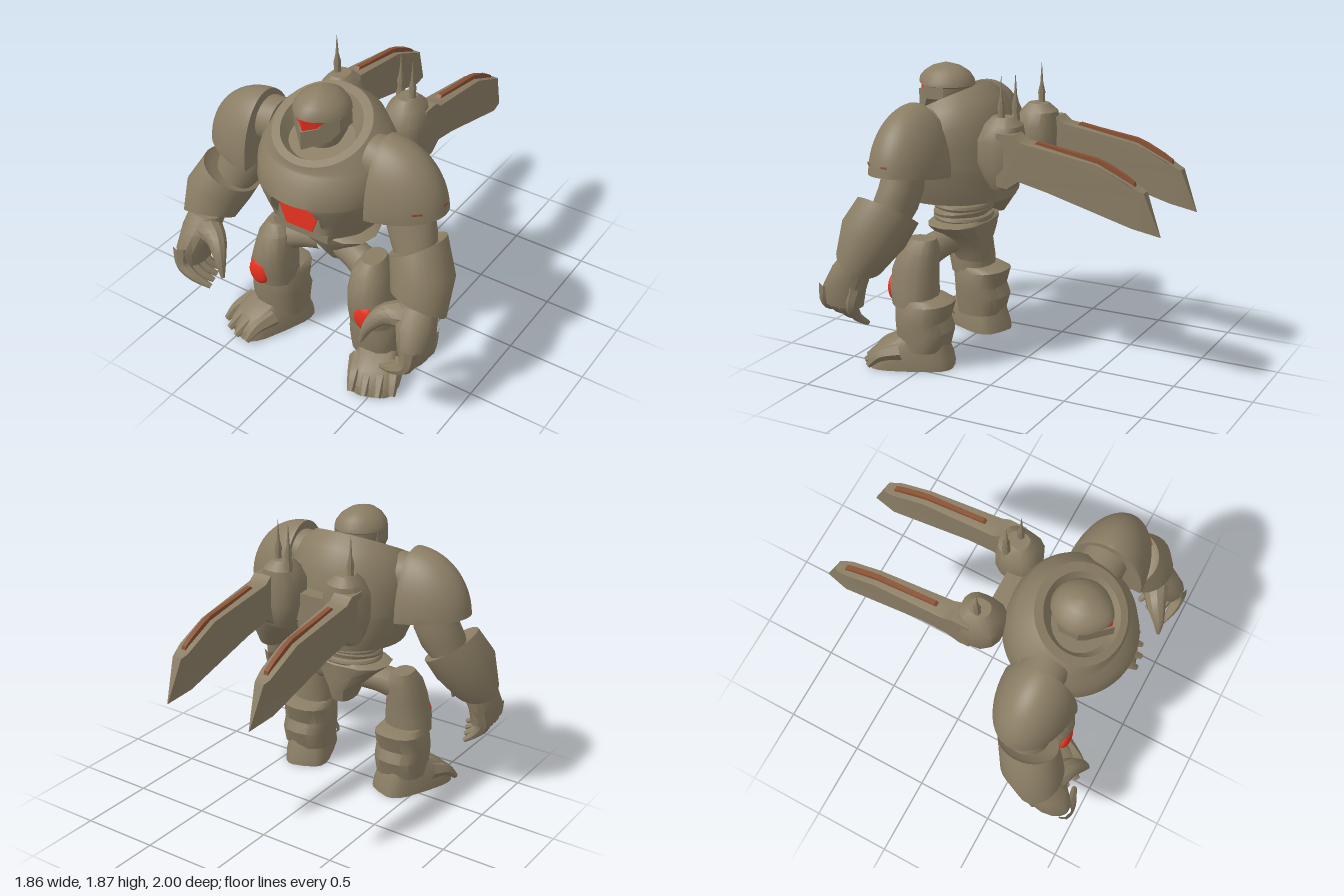
import * as THREE from 'three';
import { toCreasedNormals } from 'three/addons/utils/BufferGeometryUtils.js';

const mat = (name, color) => {
  const m = new THREE.MeshStandardMaterial({ color });
  m.name = name;
  return m;
};
const V = (p) => new THREE.Vector3(...p);

// Drop attributes, unindex and give smooth normals with sharp edges
function finish(geo, crease = 0.6) {
  const g = geo.index ? geo.toNonIndexed() : geo.clone();
  g.clearGroups();
  g.deleteAttribute('uv');
  g.deleteAttribute('normal');
  g.computeVertexNormals();
  return toCreasedNormals(g, crease);
}

// Mirror across x and turn the triangles round again
function mirrored(geo) {
  const g = geo.clone().scale(-1, 1, 1);
  const a = g.attributes.position.array;
  for (let i = 0; i < a.length; i += 9)
    for (let k = 0; k < 3; k++) [a[i + k], a[i + 6 + k]] = [a[i + 6 + k], a[i + k]];
  return finish(g);
}

function bend(geo, rule) {
  const p = geo.attributes.position, v = new THREE.Vector3();
  for (let i = 0; i < p.count; i++) {
    rule(v.fromBufferAttribute(p, i));
    p.setXYZ(i, v.x, v.y, v.z);
  }
  return geo;
}

// Closed skin over rings listed upwards: [cx, cy, cz, rx, rz, tiltX, tiltZ]
function loft(rings, n = 24, square = 1) {
  const pos = [], idx = [];
  const pw = (c) => Math.sign(c) * Math.abs(c) ** square;
  for (const [cx, cy, cz, rx, rz, tx = 0, tz = 0] of rings)
    for (let j = 0; j < n; j++) {
      const t = (j / n) * Math.PI * 2;
      const dx = rx * pw(Math.cos(t)), dz = rz * pw(Math.sin(t));
      pos.push(cx + dx, cy + tx * dx + tz * dz, cz + dz);
    }
  const last = rings.length - 1, c0 = rings.length * n;
  pos.push(...rings[0].slice(0, 3), ...rings[last].slice(0, 3));
  for (let j = 0; j < n; j++) {
    const k = (j + 1) % n;
    for (let i = 0; i < last; i++) {
      const a = i * n + j, b = i * n + k;
      idx.push(a, a + n, b, b, a + n, b + n);
    }
    idx.push(c0, j, k, c0 + 1, last * n + k, last * n + j);
  }
  const g = new THREE.BufferGeometry();
  g.setAttribute('position', new THREE.Float32BufferAttribute(pos, 3));
  g.setIndex(idx);
  return g;
}

// Tube along points, tapering from r0 to r1
function taper(points, r0, r1, n = 8) {
  const curve = new THREE.CatmullRomCurve3(points.map(V)), seg = 10;
  const g = new THREE.TubeGeometry(curve, seg, 1, n), p = g.attributes.position;
  const v = new THREE.Vector3();
  for (let i = 0; i < p.count; i++) {
    const t = Math.floor(i / (n + 1)) / seg, c = curve.getPointAt(t);
    v.fromBufferAttribute(p, i).sub(c).multiplyScalar(r0 + (r1 - r0) * t).add(c);
    p.setXYZ(i, v.x, v.y, v.z);
  }
  return g;
}

const shapeOf = (pts) => new THREE.Shape(pts.map((p) => new THREE.Vector2(...p)));
const slab = (shape, depth) => new THREE.ExtrudeGeometry(shape, { depth, bevelEnabled: false });
const ball = (x, y, z, rx, ry, rz) => new THREE.SphereGeometry(1, 28, 18).scale(rx, ry, rz).translate(x, y, z);
const box = (w, h, d, x, y, z) => new THREE.BoxGeometry(w, h, d).translate(x, y, z);

export function createModel() {
  const root = new THREE.Group();
  root.name = 'armouredWalker';
  const stone = mat('stoneArmour', 0x8a7d64);
  const red = mat('glowRed', 0xee3420);
  const rust = mat('rust', 0x8a5234);

  const add = (name, geo, m = stone) => {
    const mesh = new THREE.Mesh(finish(geo), m);
    mesh.name = name;
    root.add(mesh);
  };
  const pair = (name, geo, m = stone) => {
    add(name + 'Left', geo, m);
    const mesh = new THREE.Mesh(mirrored(finish(geo)), m);
    mesh.name = name + 'Right';
    root.add(mesh);
  };

  // Barrel torso: hollow below, tilted collar, sunken neck, and a recess cut into the belly
  const torso = loft([
    [0, 1.12, 0.46, 0.24, 0.22], [0, 1.04, 0.47, 0.3, 0.31], [0, 1.04, 0.485, 0.335, 0.365, 0, -0.04], [0, 1.1, 0.495, 0.36, 0.375],
    [0, 1.16, 0.505, 0.383, 0.385], [0, 1.22, 0.515, 0.4, 0.395], [0, 1.27, 0.522, 0.413, 0.402], [0, 1.285, 0.524, 0.416, 0.402],
    [0, 1.4, 0.515, 0.42, 0.382], [0, 1.5, 0.5, 0.405, 0.348, 0, -0.12], [0, 1.58, 0.525, 0.365, 0.315, 0, -0.35],
    [0, 1.635, 0.57, 0.3, 0.265, 0, -0.48], [0, 1.635, 0.575, 0.245, 0.22, 0, -0.48], [0, 1.54, 0.575, 0.2, 0.17, 0, -0.3],
  ], 96);
  add('torso', bend(torso, (v) => {
    const half = 0.125 + (1.28 - v.y) * 0.35;
    if (v.y < 1.28 && Math.abs(v.x) < half) v.z = Math.min(v.z, 0.81);
  }));
  const hex = [[-0.1, 1.265], [0.1, 1.265], [0.135, 1.18], [0.09, 1.06], [-0.09, 1.06], [-0.135, 1.18]];
  add('bellyGlow', slab(shapeOf(hex), 0.009).translate(0, 0, 0.814), red);
  add('bellyLip', box(0.38, 0.05, 0.16, 0, 1.03, 0.73));

  // Head: face, pointed helmet, wedge-shaped jaw, visor
  add('face', loft([[0, 1.54, 0.57, 0.11, 0.11], [0, 1.62, 0.555, 0.145, 0.135], [0, 1.75, 0.555, 0.153, 0.148]]));
  add('helmet', bend(loft([
    [0, 1.725, 0.57, 0.15, 0.165], [0, 1.735, 0.57, 0.168, 0.185], [0, 1.765, 0.57, 0.162, 0.178], [0, 1.81, 0.57, 0.13, 0.15],
    [0, 1.845, 0.57, 0.08, 0.095], [0, 1.865, 0.57, 0.02, 0.025],
  ], 32), (v) => {
    const t = Math.max(0, v.z - 0.57) / 0.19;
    v.x *= 1 - 0.3 * t * t;
    if (v.y < 1.78) v.y += 0.018 * t * t;
  }));
  const wedge = (pts, front, depth, k) =>
    bend(slab(shapeOf(pts), depth), (v) => { v.z += front - depth - Math.abs(v.x) * k; });
  pair('jaw', wedge([[0, 1.57], [0.12, 1.605], [0.162, 1.66], [0.16, 1.745], [0.105, 1.735], [0.07, 1.695], [0, 1.685]], 0.775, 0.12, 0.95));
  pair('visor', wedge([[0, 1.68], [0.06, 1.69], [0.1, 1.735], [0.08, 1.75], [0, 1.755]], 0.758, 0.009, 0.85), red);

  // Waist rings and pelvis
  add('waist', loft([[0, 0.86, 0.46, 0.19, 0.15], [0, 1.13, 0.46, 0.19, 0.16]]));
  for (let i = 0; i < 4; i++)
    add('waistRing', new THREE.TorusGeometry(0.19, 0.024, 8, 28).rotateX(Math.PI / 2 + (i % 2 ? 0.05 : -0.05))
      .scale(1.04, 1, 0.85).translate(0, 0.905 + i * 0.04, 0.46));
  add('pelvis', loft([
    [0, 0.61, 0.4, 0.07, 0.1], [0, 0.7, 0.42, 0.1, 0.14], [0, 0.8, 0.45, 0.2, 0.17], [0, 0.875, 0.46, 0.29, 0.185], [0, 0.895, 0.46, 0.22, 0.17],
  ], 12, 0.8));
  pair('hip', taper([[0.08, 0.75, 0.5], [0.2, 0.74, 0.53], [0.33, 0.7, 0.57]], 0.085, 0.1, 12));

  // Legs
  pair('thigh', loft([
    [0.37, 0.4, 0.6, 0.15, 0.14], [0.365, 0.5, 0.61, 0.145, 0.15], [0.35, 0.62, 0.61, 0.125, 0.15],
    [0.345, 0.75, 0.58, 0.11, 0.13, -0.1], [0.345, 0.82, 0.56, 0.065, 0.09],
  ], 14, 0.85));
  pair('shin', loft([
    [0.37, 0.12, 0.54, 0.165, 0.15], [0.37, 0.24, 0.535, 0.17, 0.18], [0.37, 0.31, 0.55, 0.172, 0.165], [0.365, 0.41, 0.535, 0.16, 0.19, 0, -0.1],
    [0.365, 0.45, 0.56, 0.14, 0.15],
  ], 16, 0.8));
  pair('kneeGlow', ball(0.39, 0.49, 0.738, 0.072, 0.092, 0.035), red);

  // Splayed feet with clawed toes
  const toFoot = (g) => g.rotateY(0.4).translate(0.41, 0, 0.61);
  pair('foot', toFoot(loft([
    [0, 0, 0, 0.155, 0.27], [0, 0.06, 0, 0.152, 0.26], [0, 0.14, -0.02, 0.135, 0.21], [0, 0.21, -0.07, 0.115, 0.14],
  ], 20, 0.55)));
  for (const x of [-0.11, -0.037, 0.037, 0.11]) {
    const reach = 0.31 - Math.abs(x) * 0.4;
    pair('toe', toFoot(taper([[x, 0.12, 0.06], [x * 1.1, 0.09, 0.19], [x * 1.15, 0.025, reach]], 0.065, 0.02, 6)));
  }

  // Shoulder joints and domed pads, cut flat inside and below
  pair('shoulderJoint', new THREE.CylinderGeometry(0.14, 0.14, 0.16, 20).rotateZ(Math.PI / 2).translate(0.4, 1.5, 0.52));
  pair('shoulderPad', bend(new THREE.SphereGeometry(1, 48, 36).scale(0.385, 0.41, 0.24).translate(0.42, 1.28, 0.54), (v) => {
    v.x = Math.max(v.x, 0.415);
    v.y = Math.max(v.y, 1.255 + 0.14 * (v.x - 0.42));
  }));
  add('padScratch', box(0.06, 0.012, 0.008, 0, 0, 0).rotateY(0.72).translate(0.71, 1.36, 0.69), rust);
  add('padScratch', box(0.008, 0.012, 0.04, 0.792, 1.37, 0.53), rust);

  // Arms: upper arm and flared gauntlet
  pair('upperArm', loft([
    [0.66, 0.98, 0.6, 0.12, 0.12], [0.62, 1.1, 0.57, 0.135, 0.13, 0.4], [0.58, 1.2, 0.55, 0.148, 0.13, 0.2], [0.56, 1.32, 0.54, 0.14, 0.12],
  ]));
  pair('gauntlet', loft([
    [0.76, 0.79, 0.735, 0.15, 0.11, -0.2, 0.6], [0.76, 0.785, 0.735, 0.17, 0.135, -0.2, 0.6], [0.735, 0.94, 0.655, 0.188, 0.185, 0.2, 0.4],
    [0.665, 1.075, 0.595, 0.155, 0.188, 0.62, 0.2], [0.665, 1.06, 0.595, 0.125, 0.155, 0.5, 0.2],
  ], 28));

  // Hands: palm, thumb and four curled clawed fingers
  pair('palm', loft([
    [0.81, 0.49, 0.835, 0.075, 0.13], [0.81, 0.6, 0.83, 0.1, 0.145], [0.78, 0.72, 0.79, 0.12, 0.13], [0.76, 0.82, 0.74, 0.12, 0.1],
  ], 14));
  pair('thumb', taper([[0.72, 0.73, 0.8], [0.61, 0.72, 0.86], [0.54, 0.64, 0.92], [0.505, 0.53, 0.95]], 0.09, 0.012, 10));
  for (let i = 0; i < 4; i++) {
    const z = 0.73 + i * 0.066, dx = i * 0.03, up = i * 0.01;
    pair('finger', taper([
      [0.83, 0.62, z], [0.845 - dx * 0.3, 0.5, z + 0.025], [0.79 - dx * 0.5, 0.415 + up, z + 0.03], [0.72 - dx, 0.355 + up, z],
    ], 0.062, 0.016));
  }

  // Back mounts, cross plate and long blades
  add('crossPlate', box(0.34, 0.18, 0.14, 0, 1.33, 0.11));
  pair('mount', loft([
    [0.24, 1.19, 0.04, 0.09, 0.075], [0.24, 1.25, 0.045, 0.115, 0.11], [0.235, 1.34, 0.055, 0.135, 0.14], [0.235, 1.48, 0.055, 0.135, 0.14],
    [0.235, 1.57, 0.04, 0.105, 0.115], [0.235, 1.62, 0.045, 0.055, 0.065],
  ], 14, 0.8));
  const blade = slab(shapeOf([
    [-0.03, 1.22], [0.04, 1.21], [0.12, 1.265], [0.3, 1.22], [0.84, 1.075], [1, 1.03], [0.9, 1.285], [0.86, 1.3], [0.81, 1.33],
    [0.61, 1.42], [0.22, 1.49], [0.13, 1.5], [0.08, 1.54], [-0.03, 1.54],
  ]), 0.1).translate(0, 0, -0.05).rotateY(Math.PI / 2);
  pair('blade', bend(blade, (v) => {
    if (v.z < -0.84) v.x *= Math.max(0.04, (1 + v.z) / 0.16);
    if (v.z > -0.15) v.x *= 1.25;
    v.x += 0.295;
  }));
  const strip = shapeOf([
    [0.2, 1.488], [0.6, 1.41], [0.8, 1.32], [0.84, 1.305], [0.835, 1.335], [0.78, 1.37], [0.67, 1.425], [0.6, 1.45], [0.35, 1.486], [0.22, 1.508],
  ]);
  pair('bladeRust', slab(strip, 0.03).translate(0, 0, -0.015).rotateY(Math.PI / 2).translate(0.295, 0, 0), rust);

  // Spikes on the mounts
  for (const [x, z] of [[-0.265, 0.04], [0.265, 0.04], [0.16, 0]])
    add('spike', new THREE.LatheGeometry([[0.028, 1.52], [0.028, 1.6], [0.02, 1.64], [0.024, 1.68], [0.01, 1.74], [0.001, 1.865]]
      .map((p) => new THREE.Vector2(...p)), 8).translate(x, 0, z));

  return root;
}
